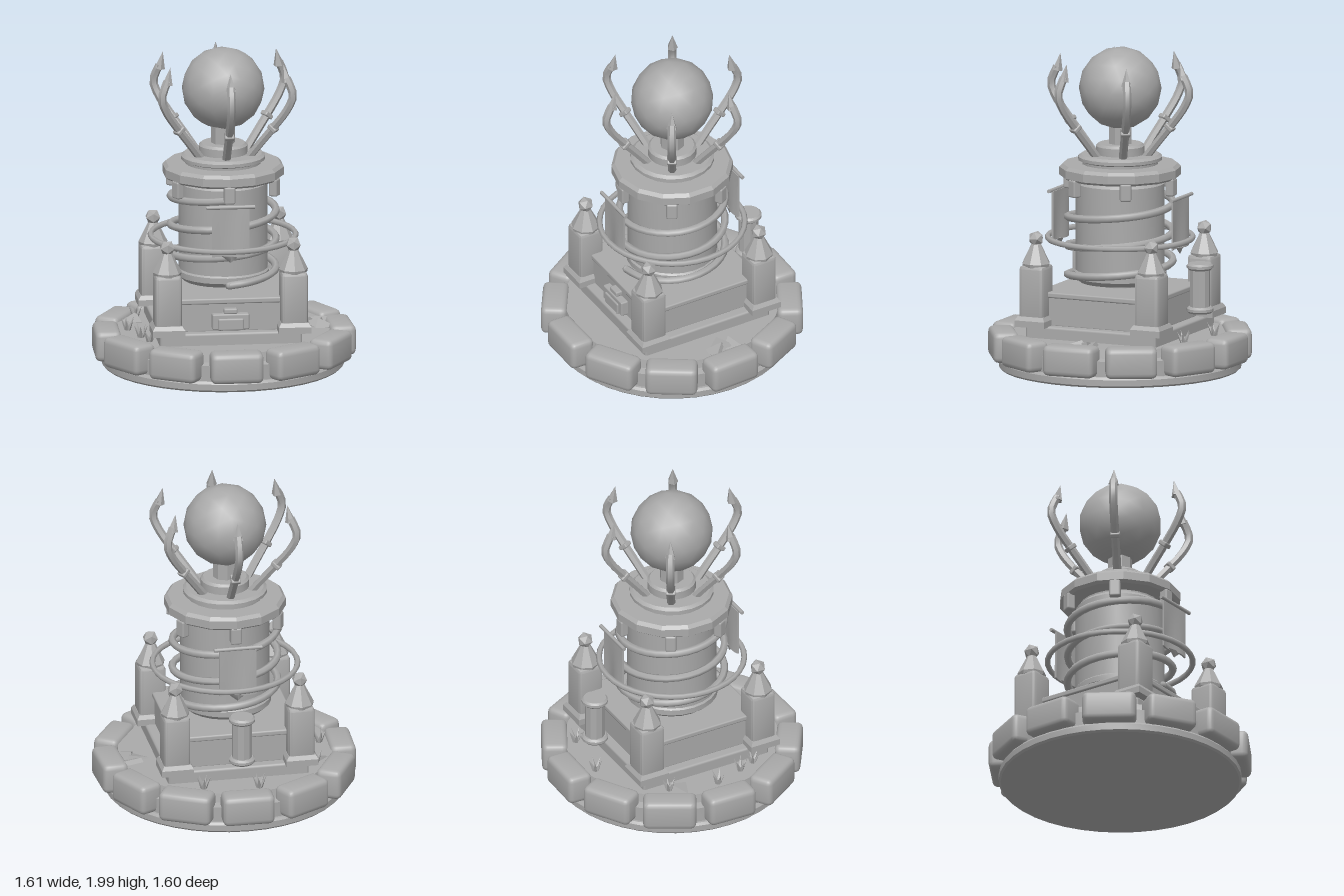
import * as THREE from 'three';
import { toCreasedNormals } from 'three/addons/utils/BufferGeometryUtils.js';
import { RoundedBoxGeometry } from 'three/addons/geometries/RoundedBoxGeometry.js';

const stone = new THREE.MeshStandardMaterial({ color: 0xaaaaaa });
stone.name = 'grey stone';

const V = (x, y, z = 0) => new THREE.Vector3(x, y, z);
const crease = (geo, angle = 0.6) => toCreasedNormals(geo, angle);

function add(parent, name, geo, x = 0, y = 0, z = 0) {
  const mesh = new THREE.Mesh(geo, stone);
  mesh.name = name;
  mesh.position.set(x, y, z);
  parent.add(mesh);
  return mesh;
}

function group(parent, name) {
  const g = new THREE.Group();
  g.name = name;
  parent.add(g);
  return g;
}

// Turned part from [radius, height] pairs, bottom to top
const turned = (points, sides, angle) =>
  crease(new THREE.LatheGeometry(points.map(([r, y]) => new THREE.Vector2(r, y)), sides), angle);

const block = (w, h, d, r = 0.01) => new RoundedBoxGeometry(w, h, d, 1, r);

// Square tapering section: [half width, height] pairs on four sides
function squareTurned(points) {
  const geo = new THREE.LatheGeometry(
    points.map(([h, y]) => new THREE.Vector2(h * Math.SQRT2, y)), 4);
  geo.rotateY(Math.PI / 4);
  return crease(geo, 0.3);
}

function addBase(model) {
  const base = group(model, 'base');
  add(base, 'foundationDisc', turned([[0, 0], [0.735, 0], [0.747, 0.012], [0.747, 0.05],
    [0.735, 0.065], [0.72, 0.065], [0.72, 0.16], [0.67, 0.17], [0.66, 0.225], [0, 0.225]], 40));
  // Ring of twelve slightly uneven kerb blocks
  for (let i = 0; i < 12; i++) {
    const a = i * Math.PI / 6;
    const wobble = Math.sin(i * 2.7);
    const kerb = add(base, 'kerbBlock', crease(new RoundedBoxGeometry(0.325 + wobble * 0.008, 0.19, 0.16, 2, 0.035), 0.7),
      0.72 * Math.sin(a), 0.157, 0.72 * Math.cos(a));
    kerb.rotation.y = a + wobble * 0.05;
  }
  // Stepped square platform
  add(base, 'lowerStep', block(0.88, 0.1, 0.88, 0.015), 0, 0.25, 0);
  add(base, 'platform', block(0.76, 0.2, 0.76, 0.015), 0, 0.39, 0);
  add(base, 'platformSlab', block(0.79, 0.035, 0.79, 0.01), 0, 0.49, 0);
  // Small hatch in the front wall
  add(base, 'hatchFrame', block(0.23, 0.1, 0.07), 0, 0.365, 0.39);
  add(base, 'hatchDoor', block(0.16, 0.075, 0.03), 0, 0.35, 0.42);
  add(base, 'hatchKeystone', block(0.085, 0.035, 0.06), 0, 0.43, 0.39);
}

function addPillars(model) {
  for (const x of [-0.39, 0.39]) for (const z of [-0.39, 0.39]) {
    const p = group(model, 'pillar');
    p.position.set(x, 0, z);
    add(p, 'pillarFoot', squareTurned([[0, 0.295], [0.1, 0.295], [0.1, 0.335], [0.085, 0.36], [0, 0.36]]));
    add(p, 'pillarShaft', crease(new RoundedBoxGeometry(0.165, 0.34, 0.165, 1, 0.022), 0.4), 0, 0.505, 0);
    add(p, 'pillarRoof', turned([[0, 0.665], [0.085, 0.665], [0.09, 0.685], [0.03, 0.805], [0, 0.81]], 8));
    add(p, 'pillarFinial', crease(new THREE.IcosahedronGeometry(0.05, 0), 0.1), 0, 0.838, 0);
  }
}

function addDrum(model) {
  const drum = group(model, 'drum');
  add(drum, 'drumStem', new THREE.CylinderGeometry(0.09, 0.1, 0.08, 12), 0, 0.52, 0);
  add(drum, 'drumBody', turned([[0, 0.54], [0.25, 0.54], [0.285, 0.57], [0.285, 0.605],
    [0.275, 0.615], [0.275, 1.155], [0.25, 1.18], [0.25, 1.21]], 24));
  // Coil winding up around the drum
  const turns = [];
  for (let i = 0; i <= 48; i++) {
    const a = i / 16 * Math.PI * 2;
    turns.push(V(0.325 * Math.sin(a), 0.57 + i / 48 * 0.54, 0.325 * Math.cos(a)));
  }
  add(drum, 'coil', new THREE.TubeGeometry(new THREE.CatmullRomCurve3(turns), 96, 0.024, 6));
  for (const end of [turns[0], turns[48]])
    add(drum, 'coilEnd', new THREE.SphereGeometry(0.024, 6, 4), end.x, end.y, end.z);
  // Encircling hoop
  const hoop = add(drum, 'hoop', new THREE.TorusGeometry(0.447, 0.018, 6, 36), 0, 0.815, 0);
  hoop.rotation.x = Math.PI / 2;
  // Polygonal cap with clips hanging below it
  add(drum, 'cap', turned([[0, 1.19], [0.355, 1.19], [0.375, 1.205], [0.375, 1.255],
    [0.355, 1.275], [0, 1.275]], 14, 0.3));
  for (let i = 0; i < 6; i++) {
    const a = i * Math.PI / 3;
    const clip = add(drum, 'capClip', block(0.07, 0.11, 0.055, 0.012),
      0.345 * Math.sin(a), 1.15, 0.345 * Math.cos(a));
    clip.rotation.y = a;
  }
  add(drum, 'crownCollar', turned([[0.235, 1.27], [0.235, 1.29], [0.26, 1.3], [0.26, 1.32],
    [0.24, 1.335], [0.15, 1.335], [0.15, 1.385], [0.135, 1.4], [0, 1.4]], 20));
  add(drum, 'orbNeck', crease(new THREE.CylinderGeometry(0.075, 0.075, 0.16, 8), 0.3), 0, 1.46, 0);
  add(drum, 'orb', new THREE.IcosahedronGeometry(0.255, 2), 0, 1.745, 0);
}

function addClaws(model) {
  const path = new THREE.CatmullRomCurve3([V(0.17, 1.32), V(0.25, 1.42), V(0.34, 1.53),
    V(0.43, 1.65), V(0.468, 1.74), V(0.45, 1.80), V(0.425, 1.85)]);
  const arm = crease(new THREE.TubeGeometry(path, 14, 0.026, 6), 0.5);
  const tip = crease(new THREE.ConeGeometry(0.034, 0.11, 5), 0.3);
  for (let i = 0; i < 6; i++) {
    const claw = group(model, 'claw');
    claw.rotation.y = -Math.PI / 2 + i * Math.PI / 3;
    add(claw, 'clawArm', arm);
    const band = add(claw, 'clawBand', block(0.062, 0.03, 0.06, 0.008), 0.335, 1.523, 0);
    band.rotation.z = -0.68;
    const point = add(claw, 'clawTip', tip, 0.415, 1.88, 0);
    point.rotation.z = 0.2;
  }
}

function addBanners(model) {
  for (const side of [0, Math.PI]) {
    const banner = group(model, 'banner');
    banner.rotation.y = side;
    const rod = add(banner, 'bannerRod', new THREE.CylinderGeometry(0.012, 0.012, 0.3, 8), 0, 1.09, 0.415);
    rod.rotation.z = Math.PI / 2;
    // Cloth drifting slightly outwards with a shallow ripple
    const cloth = new THREE.BoxGeometry(0.23, 0.31, 0.012, 6, 6, 1);
    const pos = cloth.attributes.position;
    for (let i = 0; i < pos.count; i++) {
      const drop = (0.155 - pos.getY(i)) / 0.31;
      pos.setZ(i, pos.getZ(i) + drop * 0.012 * Math.sin(pos.getX(i) * 27));
    }
    cloth.computeVertexNormals();
    add(banner, 'bannerCloth', crease(cloth), 0, 0.93, 0.405);
    const tail = add(banner, 'bannerTail', new THREE.ConeGeometry(0.055, 0.045, 4), 0, 0.758, 0.405);
    tail.rotation.x = Math.PI;
    tail.scale.z = 0.3;
  }
}

function addCanister(model) {
  const can = group(model, 'canister');
  can.position.set(0, 0, -0.54);
  add(can, 'canisterBody', crease(new THREE.CylinderGeometry(0.062, 0.062, 0.27, 10), 0.3), 0, 0.535, 0);
  for (const y of [0.4, 0.67])
    add(can, 'canisterCap', turned([[0, -0.02], [0.07, -0.02], [0.082, -0.008], [0.082, 0.008],
      [0.07, 0.02], [0, 0.02]], 16), 0, y, 0);
}

function addGroundDetails(model) {
  // Tufts of pointed blades
  const blade = crease(new THREE.ConeGeometry(0.017, 0.1, 4), 0.3);
  const spots = [[-0.1, -0.59], [0.24, -0.54], [-0.59, 0], [-0.53, 0.19], [-0.51, -0.3], [-0.49, 0.3]];
  spots.forEach(([x, z], n) => {
    const tuft = group(model, 'grassTuft');
    tuft.position.set(x, 0.22, z);
    for (let i = 0; i < 5; i++) {
      const a = n + i * Math.PI * 0.4;
      const b = add(tuft, 'grassBlade', blade, 0.022 * Math.cos(a), 0.04, 0.022 * Math.sin(a));
      b.rotation.set(0.45 * Math.sin(a), 0, -0.45 * Math.cos(a));
    }
  });
  // Broken slabs
  const shard = crease(new THREE.CylinderGeometry(0.075, 0.085, 0.03, 3), 0.1);
  [[0.56, -0.01, 0.2], [0.61, 0.05, 1.3], [0.61, -0.07, 2.3], [-0.53, -0.23, 0.7]].forEach(([x, z, a]) => {
    const s = add(model, 'rubbleShard', shard, x, 0.225, z);
    s.rotation.set(0.2, a, 0.2);
  });
}

export function createModel() {
  const model = new THREE.Group();
  model.name = 'orbTower';
  addBase(model);
  addPillars(model);
  addDrum(model);
  addClaws(model);
  addBanners(model);
  addCanister(model);
  addGroundDetails(model);
  return model;
}
